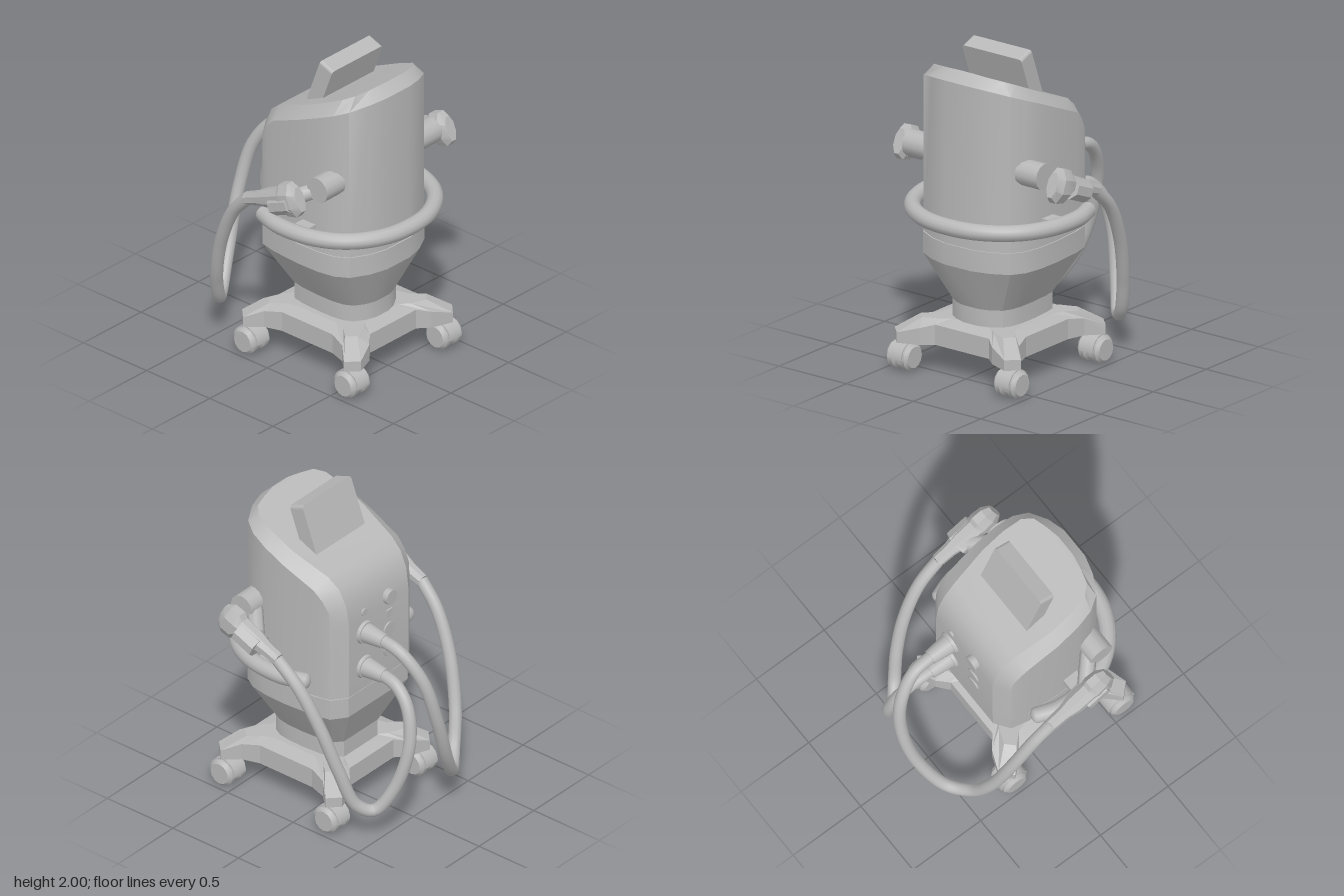
import * as THREE from 'three';
import { toCreasedNormals } from 'three/addons/utils/BufferGeometryUtils.js';

const V = (x, y, z) => new THREE.Vector3(x, y, z);

// Skins a list of equal-length closed rings and caps both ends.
function loft(rings, crease = 0.5) {
  const tris = [];
  const n = rings[0].length;
  for (let i = 0; i < rings.length - 1; i++) {
    for (let j = 0; j < n; j++) {
      const k = (j + 1) % n;
      const a = rings[i][j], b = rings[i][k], c = rings[i + 1][k], d = rings[i + 1][j];
      tris.push([a, b, c], [a, c, d]);
    }
  }
  const cap = (ring, flip) => {
    const mid = ring.reduce((s, p) => s.add(p), V(0, 0, 0)).divideScalar(n);
    ring.forEach((p, j) => {
      const q = ring[(j + 1) % n];
      tris.push(flip ? [mid, q, p] : [mid, p, q]);
    });
  };
  cap(rings[0], true);
  cap(rings[rings.length - 1], false);
  // Turn the faces outward if the rings ran the other way
  const volume = tris.reduce((s, [a, b, c]) => s + a.dot(b.clone().cross(c)), 0);
  if (volume < 0) tris.forEach((t) => t.reverse());
  const geo = new THREE.BufferGeometry().setFromPoints(tris.flat());
  return toCreasedNormals(geo, crease);
}

export function createModel() {
  const model = new THREE.Group();
  const grey = new THREE.MeshStandardMaterial({ color: 0xb8b8b8 });
  grey.name = 'plain grey';

  const add = (name, geo, pos = [0, 0, 0], rot = [0, 0, 0], parent = model) => {
    const mesh = new THREE.Mesh(geo, grey);
    mesh.name = name;
    mesh.position.set(...pos);
    mesh.rotation.set(...rot);
    parent.add(mesh);
    return mesh;
  };
  const rod = (name, a, b, r0, r1, sides = 16) => {
    const dir = b.clone().sub(a);
    const geo = new THREE.CylinderGeometry(r1, r0, dir.length(), sides);
    const mesh = add(name, geo, a.clone().add(b).multiplyScalar(0.5).toArray());
    mesh.quaternion.setFromUnitVectors(V(0, 1, 0), dir.normalize());
  };
  const tube = (name, pts, r, segments, sides) => {
    const curve = new THREE.CatmullRomCurve3(pts.map((p) => V(...p)));
    add(name, new THREE.TubeGeometry(curve, segments, r, sides));
  };

  // Main housing: stations run up the back and along the sloped top to the front.
  // [top z, top y, top half width, shoulder z, shoulder y, shoulder half width]
  const stations = [
    [-0.235, 0.86, 0.27, -0.17, 0.86, 0.36],
    [-0.235, 1.36, 0.27, -0.17, 1.34, 0.36],
    [-0.215, 1.49, 0.275, -0.16, 1.46, 0.365],
    [-0.165, 1.59, 0.28, -0.12, 1.53, 0.375],
    [-0.09, 1.65, 0.29, -0.06, 1.59, 0.385],
    [0.15, 1.75, 0.325, 0.15, 1.68, 0.4],
    [0.3, 1.82, 0.325, 0.3, 1.745, 0.396],
    [0.42, 1.875, 0.305, 0.41, 1.79, 0.375],
    [0.475, 1.9, 0.255, 0.49, 1.823, 0.325],
    [0.5, 1.91, 0.16, 0.55, 1.848, 0.215],
    [0.515, 1.92, 0.07, 0.58, 1.86, 0.1],
    [0.58, 1.86, 0.1, 0.58, 1.86, 0.1],
  ];
  add('housing', loft(stations.map(([zi, yi, wi, zo, yo, wo]) => [
    V(-wo, 0.86, zo), V(-wo, yo, zo), V(-wi, yi, zi),
    V(wi, yi, zi), V(wo, yo, zo), V(wo, 0.86, zo),
  ])));

  // Lower housing, tapering to the neck
  const half = [[0.27, -0.235], [0.36, -0.17], [0.385, -0.06], [0.4, 0.15], [0.396, 0.3],
    [0.375, 0.41], [0.325, 0.49], [0.215, 0.55], [0.1, 0.58]];
  const outline = [...half, ...half.map(([x, z]) => [-x, z]).reverse()];
  const level = ([y, sx, sz]) => outline.map(([x, z]) => V(x * sx, y, 0.18 + (z - 0.175) * sz));
  add('seam', loft([[0.845, 0.98, 0.98], [0.865, 0.98, 0.98]].map(level)));
  add('lowerHousing', loft([[0.32, 0.57, 0.68], [0.44, 0.57, 0.68], [0.72, 1, 1], [0.852, 1, 1]].map(level), 0.4));

  // Four-armed base plate
  const quarter = [[0.35, 0.2, 0.31], [0.385, 0.31, 0.29], [0.47, 0.4, 0.25],
    [0.4, 0.47, 0.25], [0.27, 0.42, 0.29], [0.2, 0.36, 0.31]];
  const mirrored = (sx, sz) => quarter.map(([x, z, y]) => [x * sx, z * sz, y]);
  const basePts = [...mirrored(1, 1), ...mirrored(-1, 1).reverse(),
    ...mirrored(-1, -1), ...mirrored(1, -1).reverse()];
  add('base', loft([
    basePts.map(([x, z]) => V(x, 0.185, 0.18 + z)),
    basePts.map(([x, z, y]) => V(x, y, 0.18 + z)),
    basePts.map(([x, z]) => V(x * 0.75, 0.335, 0.18 + z * 0.75)),
  ], 0.2));

  // Twin-wheel castors
  const wheelProfile = [[0, -0.036], [0.066, -0.036], [0.086, -0.016], [0.086, 0.016], [0.066, 0.036], [0, 0.036]];
  const wheelGeo = toCreasedNormals(
    new THREE.LatheGeometry(wheelProfile.map((p) => new THREE.Vector2(...p)), 12), 0.6);
  const hoodGeo = new THREE.CylinderGeometry(0.095, 0.095, 0.1, 12, 1, false, 0, Math.PI);
  for (const x of [-0.4, 0.4]) {
    for (const z of [-0.215, 0.58]) {
      const castor = new THREE.Group();
      castor.name = 'castor';
      castor.position.set(x, 0, z);
      model.add(castor);
      for (const s of [-1, 1]) {
        add('wheel', wheelGeo, [s * 0.045, 0.092, 0], [0, 0, Math.PI / 2], castor);
      }
      add('axle', new THREE.CylinderGeometry(0.03, 0.03, 0.12, 10), [0, 0.092, 0], [0, 0, Math.PI / 2], castor);
      add('hood', hoodGeo, [0, 0.088, 0], [0, 0, Math.PI / 2], castor);
      add('stem', new THREE.CylinderGeometry(0.035, 0.035, 0.06, 10), [0, 0.18, 0], [0, 0, 0], castor);
    }
  }

  // Tilted screen with rounded corners
  const screen = new THREE.Shape();
  const r = 0.02;
  for (const [cx, cy, a] of [[0.2, 0.18, 0], [-0.2, 0.18, 1], [-0.2, -0.18, 2], [0.2, -0.18, 3]]) {
    screen.absarc(cx, cy, r, a * Math.PI / 2, (a + 1) * Math.PI / 2);
  }
  const screenGeo = new THREE.ExtrudeGeometry(screen, { depth: 0.104, bevelEnabled: false, curveSegments: 3 });
  add('screen', screenGeo.translate(0, 0, -0.052), [0, 1.797, 0.143], [0.355, 0, 0]);

  // Handrail around the front, with end caps and brackets
  const railHalf = [[0.465, -0.06], [0.505, 0.06], [0.512, 0.18], [0.49, 0.33], [0.425, 0.47], [0.325, 0.575], [0.17, 0.655]];
  const rail = [...railHalf, [0, 0.678], ...railHalf.map(([x, z]) => [-x, z]).reverse()];
  tube('handrail', rail.map(([x, z]) => [x, 1, z]), 0.05, 48, 12);

  // Things found on both sides
  for (const s of [-1, 1]) {
    add('railEnd', new THREE.SphereGeometry(0.05, 12, 8), [s * 0.465, 1, -0.06], [0, s * 0.3, 0]).scale.set(1, 1, 0.7);
    add('railBracket', new THREE.BoxGeometry(0.12, 0.06, 0.1), [s * 0.43, 1, 0.24]);
    rod('holderBoss', V(s * 0.34, 1.34, 0.395), V(s * 0.5, 1.34, 0.395), 0.08, 0.08, 12);
    rod('holderArm', V(s * 0.42, 1.31, 0.36), V(s * 0.56, 1.25, 0.23), 0.05, 0.05, 8);
    // Octagonal sleeve that the hand piece rests in
    const sleeve = new THREE.CylinderGeometry(0.083, 0.083, 0.15, 8).rotateY(Math.PI / 8).rotateX(Math.PI / 2);
    add('holderSleeve', toCreasedNormals(sleeve, 0.4), [s * 0.606, 1.245, 0.24], [-0.4, 0, 0]).scale.y = 0.85;
  }

  // Hand pieces: [distance along the grip, half width, half height, drop]
  const grip = [[0, 0.038, 0.038, 0], [0.1, 0.042, 0.042, 0], [0.18, 0.058, 0.056, 0], [0.3, 0.06, 0.062, 0],
    [0.33, 0.066, 0.1, 0.012], [0.4, 0.06, 0.105, 0.018], [0.445, 0.035, 0.075, 0.02]];
  const gripGeo = loft(grip.map(([t, rx, ry, drop]) => Array.from({ length: 8 }, (_, i) => {
    const a = (i + 0.5) * Math.PI / 4;
    return V(Math.cos(a) * rx * 1.08, Math.sin(a) * ry * 1.08 - drop, t);
  })), 0.4);
  add('leftHandpiece', gripGeo, [0.6, 1.18, 0.03], [-0.38, 0, 0]);
  add('rightHandpiece', gripGeo, [-0.61, 1.165, -0.06], [-0.38, 0, 0]);

  // Hoses hanging from the rear sockets to the hand pieces
  tube('rightHose', [[0.13, 1.25, -0.36], [0.125, 1.21, -0.51], [0.08, 1.04, -0.64], [0.01, 0.75, -0.69],
    [-0.11, 0.43, -0.66], [-0.27, 0.23, -0.57], [-0.39, 0.26, -0.48], [-0.49, 0.46, -0.41],
    [-0.56, 0.77, -0.31], [-0.595, 1.03, -0.18], [-0.61, 1.17, -0.05]], 0.039, 80, 12);
  tube('leftHose', [[0.13, 1.01, -0.36], [0.14, 0.98, -0.49], [0.16, 0.87, -0.59], [0.2, 0.65, -0.635],
    [0.27, 0.37, -0.58], [0.35, 0.22, -0.49], [0.43, 0.27, -0.42], [0.5, 0.5, -0.35],
    [0.555, 0.79, -0.25], [0.59, 1.04, -0.11], [0.6, 1.18, 0.04]], 0.039, 80, 12);

  // Rear sockets, strain reliefs and small fittings
  for (const y of [1.25, 1.01]) {
    rod('socket', V(0.13, y, -0.22), V(0.13, y, -0.255), 0.078, 0.07);
    rod('strainRelief', V(0.13, y, -0.25), V(0.13, y - 0.005, -0.39), 0.062, 0.045);
  }
  rod('knob', V(-0.09, 1.39, -0.22), V(-0.09, 1.39, -0.262), 0.048, 0.048);
  for (const y of [1.16, 1.03]) rod('blankPort', V(-0.09, y, -0.22), V(-0.09, y, -0.246), 0.05, 0.05, 10);
  add('switch', new THREE.BoxGeometry(0.05, 0.05, 0.02), [-0.09, 1.275, -0.235]);
  rod('button', V(0.13, 1.385, -0.22), V(0.13, 1.385, -0.24), 0.025, 0.025, 12);

  return model;
}
